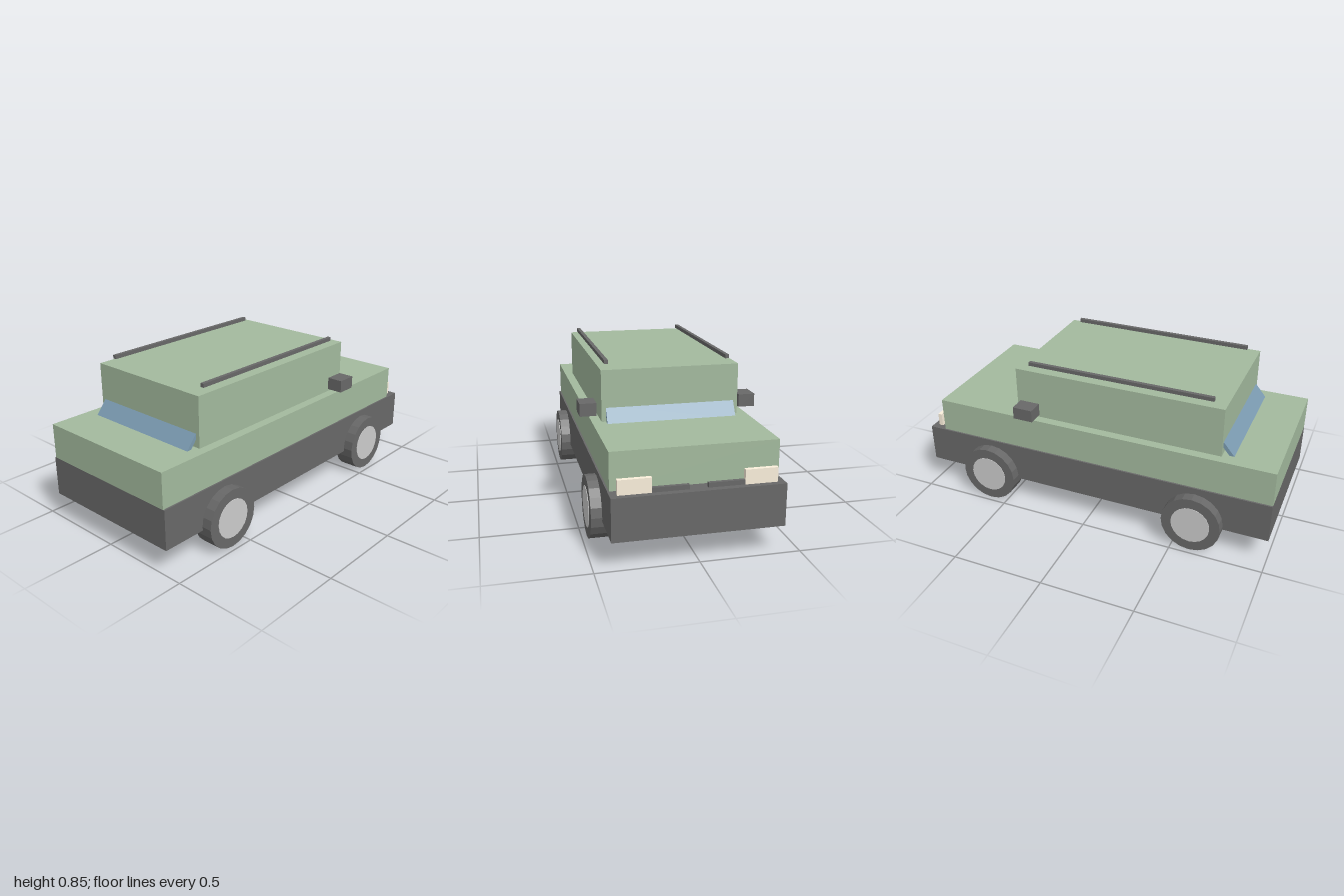
import * as THREE from 'three';

const paint = (color) => new THREE.MeshStandardMaterial({ color, flatShading: true });

export function createModel() {
  const car = new THREE.Group();
  car.name = 'car';
  const green = paint(0xa3ba9e);
  const dark = paint(0x686868);
  const glass = paint(0x7a9ab0);
  const cream = paint(0xfbf0dc);
  const grey = paint(0xcccccc);

  // Box given by its extents on each axis
  function box(name, material, [x0, x1], [y0, y1], [z0, z1]) {
    const mesh = new THREE.Mesh(new THREE.BoxGeometry(x1 - x0, y1 - y0, z1 - z0), material);
    mesh.position.set((x0 + x1) / 2, (y0 + y1) / 2, (z0 + z1) / 2);
    mesh.name = name;
    car.add(mesh);
  }

  // Body, with the nose pointing along +x
  box('lowerBody', dark, [-1, 1], [0.14, 0.354], [-0.418, 0.418]);
  box('upperBody', green, [-1, 0.91], [0.354, 0.543], [-0.409, 0.409]);
  box('cabin', green, [-0.71, 0.44], [0.543, 0.81], [-0.36, 0.36]);

  // Sloping window slab whose outer face runs from its foot to its head
  function windowSlab(name, footX, headX) {
    const foot = new THREE.Vector2(footX, 0.543);
    const along = new THREE.Vector2(headX, 0.615).sub(foot);
    const out = new THREE.Vector2(along.y, -along.x).normalize().multiplyScalar(Math.sign(footX));
    const centre = foot.clone().addScaledVector(along, 0.5).addScaledVector(out, -0.01);
    const mesh = new THREE.Mesh(new THREE.BoxGeometry(along.length() + 0.03, 0.02, 0.675), glass);
    mesh.position.set(centre.x, centre.y, 0);
    mesh.rotation.z = along.angle();
    mesh.name = name;
    car.add(mesh);
  }
  windowSlab('windscreen', 0.484, 0.44);
  windowSlab('rearWindow', -0.77, -0.71);

  // Wheel: tyre with a hub standing slightly proud on both faces
  const tyre = new THREE.CylinderGeometry(0.16, 0.16, 0.107, 20).rotateX(Math.PI / 2);
  const hub = new THREE.CylinderGeometry(0.105, 0.105, 0.112, 20).rotateX(Math.PI / 2);
  function wheel(x, z) {
    const group = new THREE.Group();
    group.name = 'wheel';
    for (const [name, geometry, material] of [['tyre', tyre, dark], ['hub', hub, grey]]) {
      const mesh = new THREE.Mesh(geometry, material);
      mesh.name = name;
      group.add(mesh);
    }
    group.position.set(x, 0.16, z);
    car.add(group);
  }

  // Parts mirrored on both sides
  for (const s of [-1, 1]) {
    const side = (a, b) => (s > 0 ? [a, b] : [-b, -a]);
    box('roofRail', dark, [-0.645, 0.375], [0.826, 0.846], side(0.311, 0.331));
    box('mirror', dark, [0.3, 0.41], [0.568, 0.635], side(0.38, 0.467));
    box('headlight', cream, [0.946, 0.969], [0.352, 0.427], side(0.222, 0.383));
    box('grilleBar', dark, [0.948, 0.967], [0.333, 0.377], side(0.045, 0.267));
    for (const x of [-0.6, 0.6]) wheel(x, s * 0.419);
  }
  return car;
}
